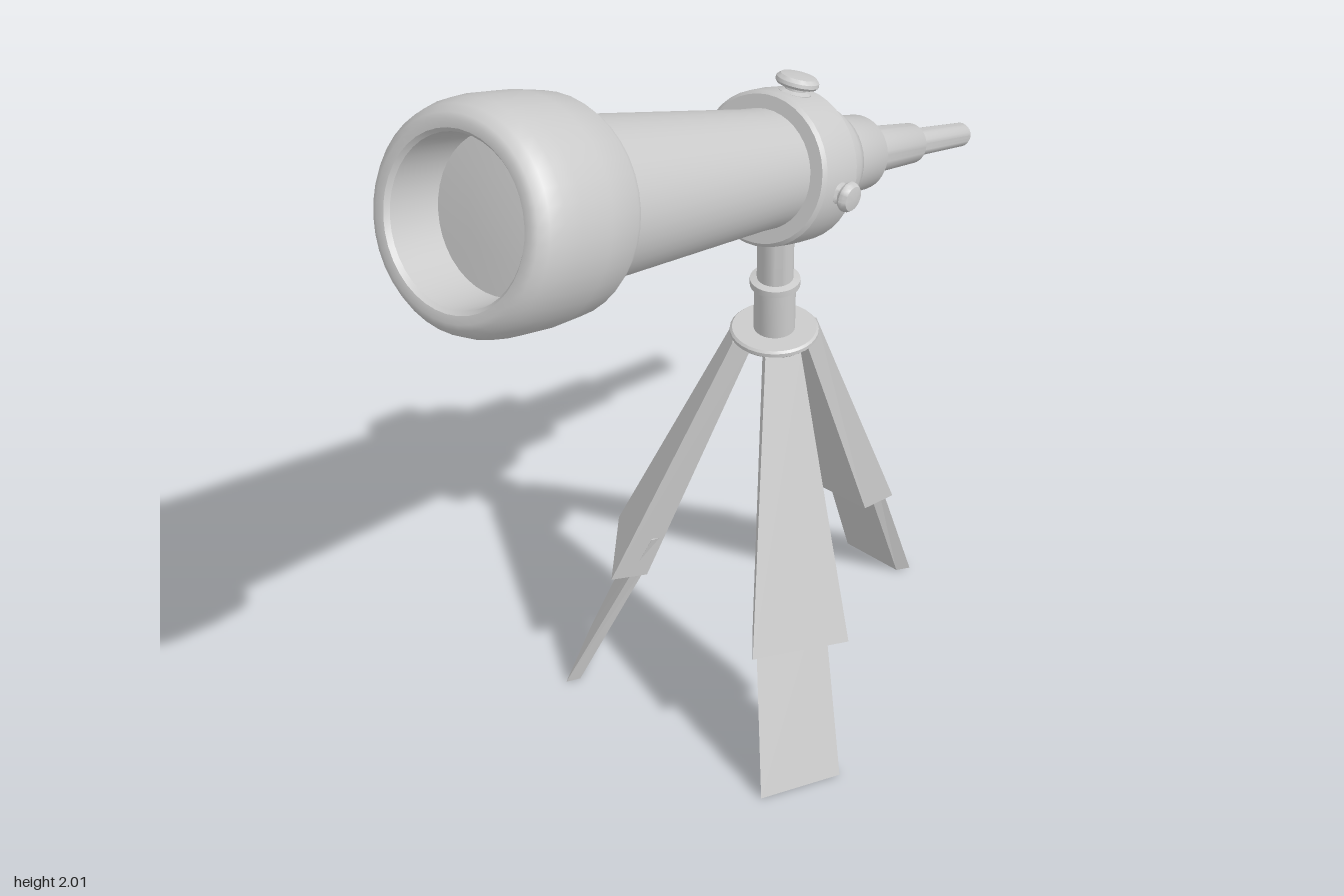
import * as THREE from 'three';
import { toCreasedNormals } from 'three/addons/utils/BufferGeometryUtils.js';

const material = new THREE.MeshStandardMaterial({ color: 0xcccccc, side: THREE.DoubleSide });
const PIVOT = new THREE.Vector3(0.16, 1.445, -0.16);

function addMesh(parent, name, geometry) {
  const mesh = new THREE.Mesh(geometry, material);
  mesh.name = name;
  parent.add(mesh);
  return mesh;
}

// Turned part from [radius, height] points, keeping hard steps sharp
function turned(points, segments = 40) {
  const profile = points.map(([r, y]) => new THREE.Vector2(r, y));
  return toCreasedNormals(new THREE.LatheGeometry(profile, segments), 0.6);
}

// Tapered slab between two outlines { x, y, z, angle, width, depth }.
// x, z is the middle of the outer edge; angle is the way the outer face points.
function slab(top, bottom) {
  const geometry = new THREE.BoxGeometry(1, 1, 1).toNonIndexed();
  const pos = geometry.attributes.position;
  for (let i = 0; i < pos.count; i++) {
    const end = pos.getY(i) > 0 ? top : bottom;
    const inward = 0.5 - pos.getZ(i);
    const across = pos.getX(i) * end.width * (1 - 0.2 * inward);
    const nx = Math.cos(end.angle), nz = Math.sin(end.angle);
    pos.setXYZ(i,
      end.x - nx * inward * end.depth + nz * across,
      end.y,
      end.z - nz * inward * end.depth - nx * across);
  }
  geometry.computeVertexNormals();
  return geometry;
}

function createTelescope() {
  const group = new THREE.Group();
  group.name = 'telescope';

  // Local +y runs along the barrel to the front, local -z is up
  const tilt = THREE.MathUtils.degToRad(20.1);
  const side = new THREE.Vector3(0.663, 0, 0.749).normalize();
  const axis = new THREE.Vector3(-side.z * Math.cos(tilt), Math.sin(tilt), side.x * Math.cos(tilt));
  const down = new THREE.Vector3().crossVectors(side, axis);
  group.quaternion.setFromRotationMatrix(new THREE.Matrix4().makeBasis(side, axis, down));
  group.position.copy(PIVOT);

  // Hood with rounded rim and deep opening
  addMesh(group, 'frontHood', turned([
    [0.165, 0.755], [0.2, 0.755], [0.217, 0.762], [0.226, 0.78], [0.235, 0.87], [0.236, 0.96],
    [0.232, 1.005], [0.222, 1.037], [0.207, 1.055], [0.195, 1.06], [0.178, 1.058], [0.17, 1.048],
    [0.163, 0.92],
  ]));
  addMesh(group, 'frontLens', turned([[0.166, 0.92], [0.08, 0.927], [0, 0.929]]));

  // Barrel and stepped eyepiece tubes
  addMesh(group, 'mainBarrel', turned([[0.132, 0], [0.135, 0.12], [0.174, 0.72], [0.175, 0.77]]));
  addMesh(group, 'rearHousing', turned([
    [0.085, -0.185], [0.1, -0.183], [0.118, -0.17], [0.134, -0.135], [0.142, -0.09], [0.143, 0],
  ]));
  addMesh(group, 'focusTube', turned([
    [0.05, -0.325], [0.081, -0.325], [0.087, -0.317], [0.097, -0.17],
  ]));
  addMesh(group, 'drawTube', turned([
    [0.028, -0.553], [0.044, -0.553], [0.048, -0.547], [0.058, -0.31],
  ]));
  addMesh(group, 'eyepiece', turned([
    [0, -0.755], [0.019, -0.755], [0.02, -0.785], [0.026, -0.787], [0.029, -0.78], [0.034, -0.54],
  ], 24));

  // Clamp ring around the barrel
  addMesh(group, 'clampRing', turned([
    [0.13, -0.065], [0.165, -0.065], [0.173, -0.057], [0.175, 0],
    [0.173, 0.057], [0.165, 0.065], [0.13, 0.065],
  ]));

  // Knobs: a large one on top and one on each side
  const addKnob = (name, direction, scale) => {
    const knob = addMesh(group, name, turned([
      [0.037, -0.03], [0.036, 0.003], [0.024, 0.008], [0.024, 0.016], [0.044, 0.018],
      [0.049, 0.024], [0.048, 0.032], [0.04, 0.04], [0, 0.045],
    ].map(([r, y]) => [r * scale, y]), 24));
    knob.quaternion.setFromUnitVectors(new THREE.Vector3(0, 1, 0), direction);
    knob.position.copy(direction).multiplyScalar(0.17);
  };
  addKnob('topKnob', new THREE.Vector3(0, 0, -1), 1);
  addKnob('leftKnob', new THREE.Vector3(1, 0, 0), 0.7);
  addKnob('rightKnob', new THREE.Vector3(-1, 0, 0), 0.7);
  return group;
}

function createTripod() {
  const group = new THREE.Group();
  group.name = 'tripod';

  // Centre post with its locking ring and the plate over the legs
  const post = addMesh(group, 'centrePost', turned([
    [0, 1], [0.048, 1], [0.048, 1.125], [0.058, 1.129], [0.058, 1.145], [0.042, 1.149], [0.042, 1.3],
  ], 28));
  const plate = addMesh(group, 'legPlate', turned([
    [0, 0.99], [0.098, 0.99], [0.103, 0.995], [0.103, 1.004], [0.098, 1.009], [0, 1.009],
  ], 32));
  for (const part of [post, plate]) part.position.set(PIVOT.x, 0, PIVOT.z);

  // Legs: [x, z, facing in degrees] at the plate, the knee and the foot
  const legs = {
    frontLeg: [[0.163, -0.062, 84], [0.163, 0.222, 84], [0.148, 0.333, 77]],
    rightLeg: [[0.066, -0.172, 192], [-0.22, -0.212, 192], [-0.323, -0.208, 204]],
    backLeg: [[0.238, -0.228, 318], [0.42, -0.3875, 318], [0.515, -0.475, 320]],
  };
  for (const [name, [top, knee, foot]] of Object.entries(legs)) {
    const leg = new THREE.Group();
    leg.name = name;
    const outline = ([x, z, deg], y, width, depth) =>
      ({ x, y, z, angle: THREE.MathUtils.degToRad(deg), width, depth });
    addMesh(leg, 'upperLeg', slab(outline(top, 0.995, 0.085, 0.05), outline(knee, 0.34, 0.235, 0.085)));

    // The lower part slides out parallel to the upper one
    const t = 0.45 / 0.655;
    const inside = [foot[0] + (top[0] - knee[0]) * t, foot[1] + (top[1] - knee[1]) * t, knee[2]];
    addMesh(leg, 'lowerLeg', slab(outline(inside, 0.45, 0.165, 0.03), outline(foot, 0, 0.205, 0.03)));
    group.add(leg);
  }
  return group;
}

export function createModel() {
  const model = new THREE.Group();
  model.name = 'telescopeOnTripod';
  model.add(createTelescope(), createTripod());
  return model;
}
